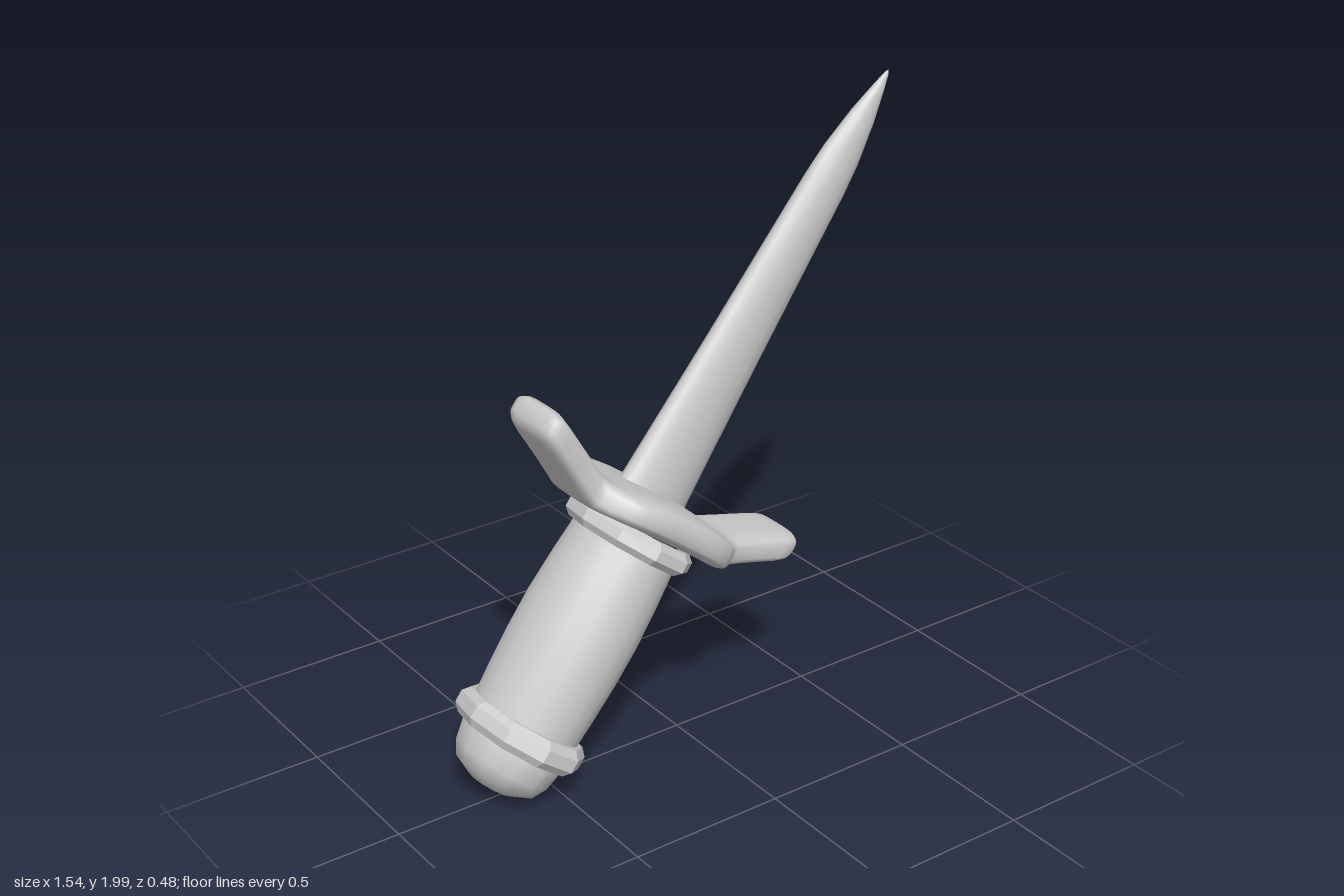
import * as THREE from 'three';

const grey = new THREE.MeshStandardMaterial({ color: 0xcccccc });
const greyFlat = new THREE.MeshStandardMaterial({ color: 0xcccccc, flatShading: true });

function addMesh(parent, name, geometry, material = grey) {
  const mesh = new THREE.Mesh(geometry, material);
  mesh.name = name;
  parent.add(mesh);
  return mesh;
}

// Smooth skin over closed cross-sections; point(section, angle) gives [x, y, z].
function loft(sections, sides, point) {
  const positions = [], index = [];
  for (const s of sections) {
    for (let j = 0; j < sides; j++) positions.push(...point(s, (j / sides) * Math.PI * 2));
  }
  for (let i = 0; i < sections.length - 1; i++) {
    for (let j = 0; j < sides; j++) {
      const k = (j + 1) % sides;
      const a = i * sides + j, b = a + sides, c = i * sides + k, d = c + sides;
      index.push(a, b, c, b, d, c);
    }
  }
  const g = new THREE.BufferGeometry();
  g.setAttribute('position', new THREE.Float32BufferAttribute(positions, 3));
  g.setIndex(index);
  g.computeVertexNormals();
  return g;
}

// Turned part; profile is [radius, height], starting with a corner on the x axis.
function turned(profile, sides, zScale) {
  const pts = profile.map(([r, y]) => new THREE.Vector2(r, y));
  return new THREE.LatheGeometry(pts, sides, Math.PI / 2).scale(1, 1, zScale);
}

const squarish = (v, p) => Math.sign(v) * Math.abs(v) ** p;

export function createModel() {
  const model = new THREE.Group();
  model.name = 'dagger';

  // The whole weapon is built upright, then leaned towards +x
  const dagger = new THREE.Group();
  dagger.name = 'leaningDagger';
  dagger.position.set(-0.575, 0.215, 0);
  dagger.rotation.z = THREE.MathUtils.degToRad(-37);
  model.add(dagger);

  // Domed pommel
  addMesh(dagger, 'pommel', turned([
    [0.001, -0.193], [0.07, -0.185], [0.128, -0.155], [0.152, -0.11], [0.163, -0.05], [0.163, 0.03],
  ], 12, 1.1));

  // Slightly barrel-shaped grip
  addMesh(dagger, 'grip', turned([
    [0.164, 0], [0.172, 0.12], [0.178, 0.25], [0.179, 0.38], [0.172, 0.52], [0.16, 0.68],
  ], 20, 1.08));

  // Faceted bands at both ends of the grip
  const band = (r, y, h) => turned([
    [0.145, y - h], [r - 0.02, y - h], [r, y - h * 0.45], [r, y + h * 0.45], [r - 0.02, y + h], [0.145, y + h],
  ], 10, 1.18);
  addMesh(dagger, 'pommelBand', band(0.196, 0, 0.043), greyFlat);
  addMesh(dagger, 'guardBand', band(0.193, 0.665, 0.036), greyFlat);

  // Crossguard: wide rounded pad with two upswept arms
  // [distance from centre, mid height, half thickness, half depth]
  const half = [
    [0, 0.757, 0.058, 0.242], [0.06, 0.757, 0.058, 0.242], [0.12, 0.755, 0.056, 0.24],
    [0.18, 0.75, 0.053, 0.228], [0.225, 0.745, 0.05, 0.203], [0.255, 0.742, 0.05, 0.168],
    [0.28, 0.745, 0.052, 0.135], [0.31, 0.757, 0.052, 0.122], [0.4, 0.795, 0.051, 0.12],
    [0.49, 0.832, 0.051, 0.12], [0.525, 0.847, 0.049, 0.115], [0.545, 0.851, 0.038, 0.102],
    [0.553, 0.853, 0.022, 0.08], [0.554, 0.853, 0.0005, 0.0005],
  ];
  const mirrored = half.slice(1).reverse().map(([x, ...rest]) => [-x, ...rest]);
  addMesh(dagger, 'crossguard', loft([...mirrored, ...half], 28, ([x, y, h, w], t) => [
    x, y + h * squarish(Math.cos(t), 0.55), -w * squarish(Math.sin(t), 0.55),
  ]));

  // Tapered blade with a lens section: [height, half width, half thickness]
  const blade = [
    [0.75, 0.145, 0.066], [0.83, 0.132, 0.063], [1.0, 0.123, 0.058], [1.3, 0.106, 0.053],
    [1.6, 0.091, 0.05], [1.85, 0.079, 0.047], [1.95, 0.07, 0.042], [2.08, 0.046, 0.03],
    [2.18, 0.02, 0.015], [2.225, 0.007, 0.006], [2.236, 0.0005, 0.0005],
  ];
  addMesh(dagger, 'blade', loft(blade, 16, ([y, w, d], t) => [w * Math.cos(t), y, d * Math.sin(t)]));

  return model;
}
